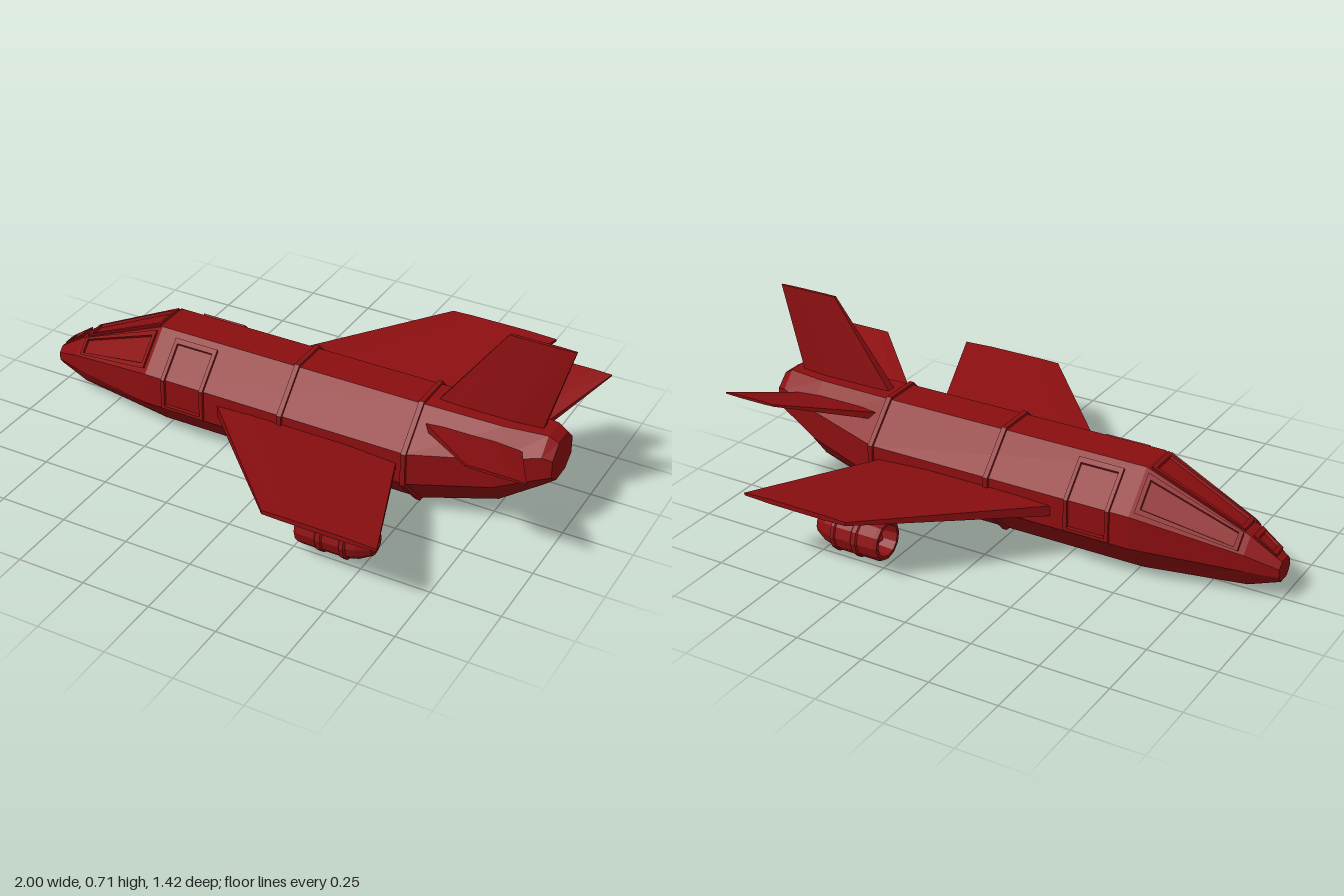
import * as THREE from 'three';

const mat = new THREE.MeshStandardMaterial({ color: 0x8a0e10, flatShading: true, roughness: 0.8 });

// Skin a list of equal-length point loops; winding is fixed by the sign of the volume.
function loft(rings, { caps = true, closed = false } = {}) {
  const tris = [];
  const n = rings[0].length;
  const last = closed ? rings.length : rings.length - 1;
  for (let i = 0; i < last; i++) {
    const a = rings[i], b = rings[(i + 1) % rings.length];
    for (let j = 0; j < n; j++) {
      const k = (j + 1) % n;
      tris.push([a[j], b[j], b[k]], [a[j], b[k], a[k]]);
    }
  }
  if (caps && !closed) {
    const a = rings[0], b = rings[rings.length - 1];
    for (let j = 1; j < n - 1; j++) tris.push([a[0], a[j], a[j + 1]], [b[0], b[j + 1], b[j]]);
  }
  let volume = 0;
  for (const [p, q, r] of tris) volume += p.dot(q.clone().cross(r));
  const pos = [];
  for (const t of tris) for (const p of volume < 0 ? [t[0], t[2], t[1]] : t) pos.push(p.x, p.y, p.z);
  const geo = new THREE.BufferGeometry();
  geo.setAttribute('position', new THREE.Float32BufferAttribute(pos, 3));
  geo.computeVertexNormals();
  return geo;
}

const V = (x, y, z) => new THREE.Vector3(x, y, z);

// Fuselage stations: x, bottom, lower crease, upper crease, top, half width, half width of flats
const stations = [
  [-1.0, 0.08, 0.105, 0.135, 0.155, 0.045, 0.025],
  [-0.89, 0.045, 0.12, 0.18, 0.23, 0.09, 0.04],
  [-0.52, 0.017, 0.15, 0.27, 0.40, 0.195, 0.07],
  [0.5, 0.017, 0.15, 0.27, 0.40, 0.195, 0.07],
  [0.79, 0.11, 0.2, 0.31, 0.40, 0.135, 0.065],
  [0.94, 0.21, 0.26, 0.345, 0.40, 0.098, 0.045],
  [0.975, 0.235, 0.27, 0.335, 0.38, 0.085, 0.038],
];
const octagon = ([x, b, lo, hi, t, w, f]) => [
  V(x, b, f), V(x, lo, w), V(x, hi, w), V(x, t, f),
  V(x, t, -f), V(x, hi, -w), V(x, lo, -w), V(x, b, -f),
];

function stationAt(x) {
  let i = 0;
  while (i < stations.length - 2 && x > stations[i + 1][0]) i++;
  const a = stations[i], b = stations[i + 1];
  const t = (x - a[0]) / (b[0] - a[0]);
  return a.map((v, k) => THREE.MathUtils.lerp(v, b[k], t));
}

// Point on the hull: s counts octagon corners, h lifts it off the skin.
function onHull(x, s, h) {
  const st = stationAt(x), o = octagon(st), i = Math.floor(s);
  const p = o[i % 8].clone().lerp(o[(i + 1) % 8], s - i);
  const out = V(0, p.y - (st[1] + st[4]) / 2, p.z).normalize();
  return p.addScaledVector(out, h);
}

// Raised frame around a patch of hull, optionally bent over a crease at sm
function frame(x0, x1, s0, s1, sm = (s0 + s1) / 2, b = 0.014, bs = 0.1, h = 0.011) {
  const ring = (d, e, lift) => [
    [x0 + d, s0 + e], [x0 + d, sm], [x0 + d, s1 - e],
    [x1 - d, s1 - e], [x1 - d, sm], [x1 - d, s0 + e],
  ].map(([x, s]) => onHull(x, s, lift));
  return loft([ring(0, 0, -0.004), ring(0, 0, h), ring(b, bs, h), ring(b, bs, -0.004)], { closed: true });
}

// Tapered surface: each end is {le, te, lo, hi, at}; place() maps chord, thickness, span to space.
function fin(root, tip, place) {
  const ring = ({ le, te, lo, hi, at }) => {
    const c = te - le, m = (hi - lo) * 0.12;
    return [
      [le, lo + m], [le, hi - m], [le + c * 0.2, hi], [le + c * 0.72, hi], [te, hi - m * 2],
      [te, lo + m * 2], [le + c * 0.72, lo], [le + c * 0.2, lo],
    ].map(([x, y]) => place(x, y, at));
  };
  return loft([ring(root), ring(tip)]);
}

export function createModel() {
  const model = new THREE.Group();
  model.name = 'aircraft';
  const add = (name, geo, parent = model) => {
    const mesh = new THREE.Mesh(geo, mat);
    mesh.name = name;
    parent.add(mesh);
    return mesh;
  };

  add('fuselage', loft(stations.map(octagon)));

  // Ribs around the hull
  for (const x of [0.025, 0.497]) {
    const rib = (px) => octagon(stations[2]).map((p) => V(px, 0.2085 + (p.y - 0.2085) * 1.05, p.z * 1.05));
    add('hullRib', loft([rib(x - 0.009), rib(x + 0.009)]));
  }

  // Cockpit glazing and nose window
  add('windshieldFrame', frame(-0.87, -0.535, 3.06, 3.94));
  add('noseWindowFrame', frame(-0.98, -0.9, 3.08, 3.92));
  add('leftCockpitWindowFrame', frame(-0.87, -0.535, 2.12, 2.9));
  add('rightCockpitWindowFrame', frame(-0.87, -0.535, 4.1, 4.88));

  // Doors wrap over the shoulder crease
  add('leftDoorFrame', frame(-0.45, -0.28, 1.08, 2.84, 2));
  add('rightDoorFrame', frame(-0.45, -0.28, 4.16, 5.92, 5));

  // Tail fin
  add('tailFin', fin(
    { le: 0.515, te: 0.9, lo: -0.024, hi: 0.024, at: 0.37 },
    { le: 0.765, te: 0.997, lo: -0.006, hi: 0.006, at: 0.71 },
    (x, t, span) => V(x, span, t)));

  // Engine outline, radius against length, from spinner over the cowl to the nozzle
  const cowl = [
    [0, 0.28], [0.022, 0.3], [0.022, 0.325], [0.052, 0.325], [0.058, 0.262], [0.07, 0.262],
    [0.075, 0.275], [0.075, 0.34], [0.08, 0.345], [0.08, 0.362], [0.075, 0.367], [0.075, 0.43],
    [0.08, 0.434], [0.08, 0.447], [0.072, 0.452], [0.064, 0.485], [0.04, 0.53], [0.029, 0.53],
    [0.025, 0.505], [0.015, 0.505], [0, 0.525],
  ].map(([r, l]) => new THREE.Vector2(r, l));

  for (const side of [1, -1]) {
    const name = side > 0 ? 'front' : 'back';
    const place = (x, t, span) => V(x, t, span * side);

    add(name + 'Wing', fin(
      { le: -0.266, te: 0.45, lo: 0.178, hi: 0.232, at: 0.15 },
      { le: 0.25, te: 0.66, lo: 0.268, hi: 0.286, at: 0.71 }, place));

    add(name + 'Tailplane', fin(
      { le: 0.5, te: 0.865, lo: 0.312, hi: 0.352, at: 0.08 },
      { le: 0.79, te: 0.997, lo: 0.42, hi: 0.43, at: 0.36 }, place));

    // Engine hung below the wing
    const engine = new THREE.Group();
    engine.name = name + 'Engine';
    engine.position.set(0, 0.083, side * 0.453);
    model.add(engine);
    add('engineCowl', new THREE.LatheGeometry(cowl, 12).rotateZ(-Math.PI / 2), engine);
    const strut = (x0, x1, y, w) => [V(x0, y, -w), V(x1, y, -w), V(x1, y, w), V(x0, y, w)];
    add('enginePylon', loft([
      strut(0.325, 0.435, 0.06, 0.013), strut(0.33, 0.43, 0.09, 0.013), strut(0.35, 0.43, 0.165, 0.017),
    ]), engine);
  }
  return model;
}
